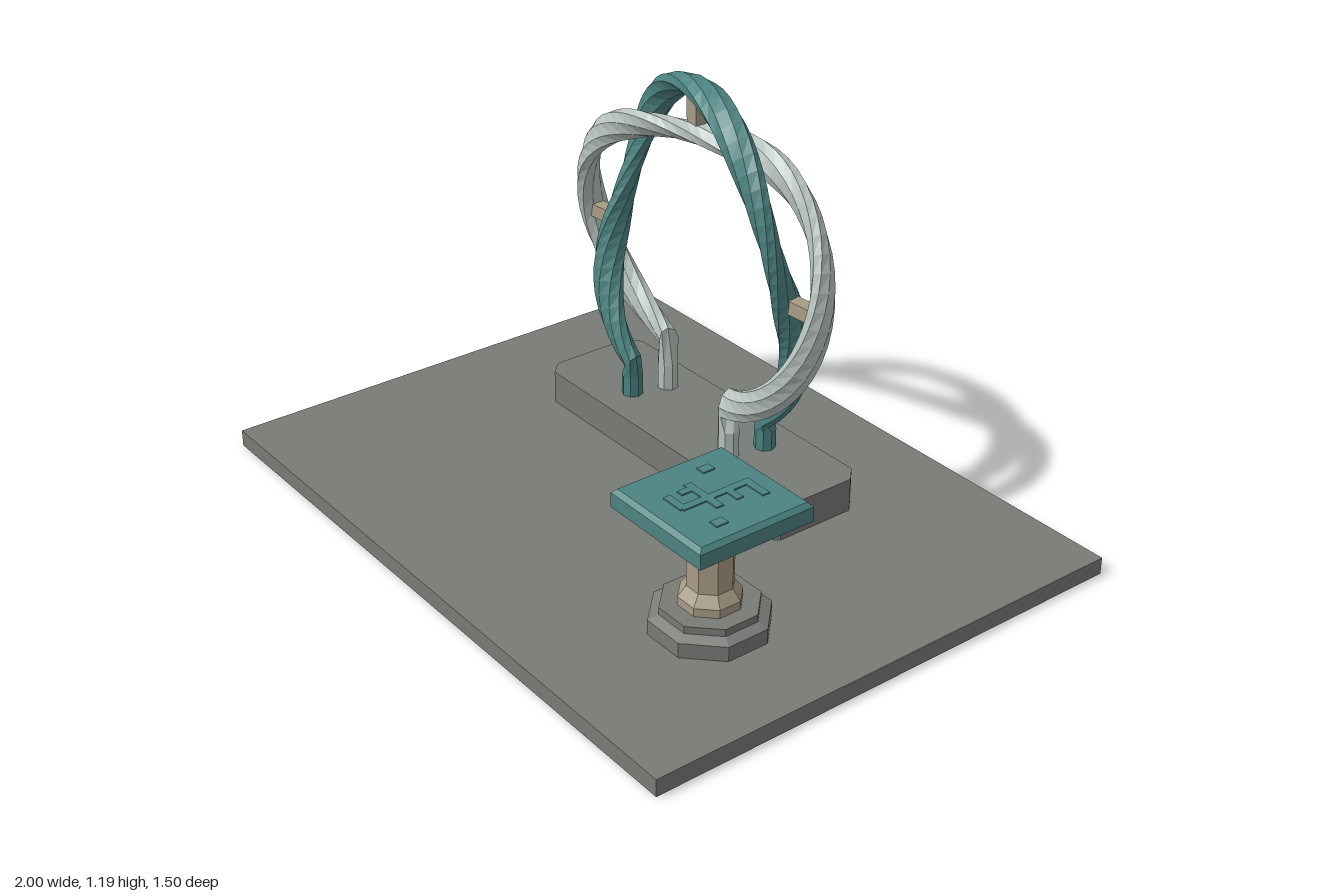
import * as THREE from 'three';

const mat = (name, color) => Object.assign(new THREE.MeshStandardMaterial({ color }), { name });

export function createModel() {
  const grey = mat('stone grey', 0x797b77);
  const teal = mat('teal', 0x4c8482);
  const pale = mat('pale grey', 0xb8c3c0);
  const beige = mat('beige', 0xa89d86);
  const model = new THREE.Group();
  model.name = 'twistedRingMonument';

  const add = (name, geometry, material, x = 0, y = 0, z = 0, parent = model) => {
    const mesh = new THREE.Mesh(geometry, material);
    mesh.name = name;
    mesh.position.set(x, y, z);
    parent.add(mesh);
    return mesh;
  };
  const faceted = (geometry) => {
    const g = geometry.index ? geometry.toNonIndexed() : geometry;
    g.computeVertexNormals();
    return g;
  };

  // Ground slab
  add('groundSlab', new THREE.BoxGeometry(2, 0.05, 1.5), grey, 0, 0.025, 0);

  // Plinth with cut corners
  const CX = -0.105, CY = 0.66, CZ = -0.25;
  const hx = 0.518, hz = 0.165, cut = 0.04;
  const outline = [
    [hx - cut, -hz], [hx, -hz + cut], [hx, hz - cut], [hx - cut, hz],
    [-hx + cut, hz], [-hx, hz - cut], [-hx, -hz + cut], [-hx + cut, -hz],
  ].map(([x, y]) => new THREE.Vector2(x, y));
  const plinth = new THREE.ExtrudeGeometry(new THREE.Shape(outline), { depth: 0.1, bevelEnabled: false });
  plinth.rotateX(-Math.PI / 2);
  add('plinth', plinth, grey, CX, 0.05, CZ);

  // Two intertwined strands: flattened sections winding twice around an open ring
  const R = 0.437, OFFSET = 0.0625, THIN = 0.028, WIDE = 0.044;
  const SIDES = 8, STEPS = 56, END = THREE.MathUtils.degToRad(150);
  const radial = (t) => new THREE.Vector3(Math.sin(t), Math.cos(t), 0);
  const offsetDir = (t, phase) => radial(t).multiplyScalar(Math.cos(2 * t + phase))
    .add(new THREE.Vector3(0, 0, Math.sin(2 * t + phase)));
  const strandPoint = (t, phase) => new THREE.Vector3(CX, CY, CZ)
    .addScaledVector(radial(t), R).addScaledVector(offsetDir(t, phase), OFFSET);

  const strand = (phase, footX, footTop) => {
    const sections = [];
    for (let i = 0; i <= STEPS; i++) {
      const t = -END + (2 * END * i) / STEPS;
      const T = strandPoint(t + 1e-3, phase).sub(strandPoint(t - 1e-3, phase)).normalize();
      const O = offsetDir(t, phase);
      sections.push({ c: strandPoint(t, phase), T, O, W: T.clone().cross(O), a: THIN, b: WIDE });
    }
    // Round upright foot at either end
    const foot = (s, side, y) => {
      const q = new THREE.Quaternion().setFromUnitVectors(s.T, new THREE.Vector3(0, -side, 0));
      return {
        c: new THREE.Vector3(CX + side * footX, y, s.c.z),
        O: s.O.clone().applyQuaternion(q), W: s.W.clone().applyQuaternion(q), a: 0.03, b: 0.03,
      };
    };
    const first = sections[0], last = sections[STEPS];
    sections.unshift(foot(first, -1, 0.14), foot(first, -1, footTop));
    sections.push(foot(last, 1, footTop), foot(last, 1, 0.14));

    const positions = [], index = [];
    sections.forEach(({ c, O, W, a, b }, i) => {
      for (let j = 0; j < SIDES; j++) {
        const f = ((j + 0.5) / SIDES) * Math.PI * 2;
        const p = c.clone().addScaledVector(O, a * Math.cos(f) * 1.05).addScaledVector(W, b * Math.sin(f) * 1.05);
        positions.push(p.x, p.y, p.z);
        if (i === 0) continue;
        const k = (j + 1) % SIDES, lo = (i - 1) * SIDES, hi = i * SIDES;
        index.push(lo + j, lo + k, hi + k, lo + j, hi + k, hi + j);
      }
    });
    const g = new THREE.BufferGeometry();
    g.setAttribute('position', new THREE.Float32BufferAttribute(positions, 3));
    g.setIndex(index);
    return faceted(g);
  };
  add('tealStrand', strand(0, 0.237, 0.212), teal);
  add('paleStrand', strand(Math.PI, 0.207, 0.23), pale);

  // Spacers between the strands
  for (const deg of [-92, -2, 88]) {
    const t = THREE.MathUtils.degToRad(deg);
    const p = radial(t).multiplyScalar(R);
    const spacer = add('spacer', new THREE.BoxGeometry(0.04, 0.09, 0.04), beige, CX + p.x, CY + p.y, CZ);
    spacer.rotation.z = -t;
  }

  // Pedestal: octagonal stepped foot and column, given as [flat radius, height]
  const pedestal = new THREE.Group();
  pedestal.name = 'pedestal';
  pedestal.position.set(0.6, 0, 0.27);
  model.add(pedestal);
  const octagon = (profile) => {
    const points = profile.map(([r, y]) => new THREE.Vector2(r / Math.cos(Math.PI / 8), y));
    return faceted(new THREE.LatheGeometry(points, 8, Math.PI / 8));
  };
  add('pedestalFoot', octagon([[0.152, 0.05], [0.152, 0.093], [0.125, 0.105], [0.125, 0.126], [0, 0.126]]),
    grey, 0, 0, 0, pedestal);
  add('pedestalColumn', octagon([[0.08, 0.126], [0.08, 0.15], [0.059, 0.18], [0.059, 0.33],
    [0.092, 0.362], [0.092, 0.381]]), beige, 0, 0, 0, pedestal);

  // Square tablet with a bevelled upper edge
  const square = (h) => h * Math.SQRT2;
  const tablet = new THREE.LatheGeometry([[0, 0.38], [0.178, 0.38], [0.178, 0.422], [0.166, 0.434], [0, 0.434]]
    .map(([r, y]) => new THREE.Vector2(square(r), y)), 4, Math.PI / 4);
  add('tablet', faceted(tablet), teal, 0, 0, 0, pedestal);

  // Low relief ornament on the tablet: [x, z, width, depth]
  const bars = [
    [0.005, -0.01, 0.022, 0.22], [0.042, -0.108, 0.075, 0.022], [0.025, -0.045, 0.06, 0.02],
    [-0.01, 0.018, 0.13, 0.022], [-0.025, 0.095, 0.07, 0.022], [-0.052, 0.04, 0.02, 0.04],
    [-0.105, -0.065, 0.028, 0.036], [0.108, 0.065, 0.028, 0.036],
  ];
  for (const [x, z, w, d] of bars) {
    add('reliefBar', new THREE.BoxGeometry(w, 0.005, d), teal, x, 0.4355, z, pedestal);
  }
  return model;
}
